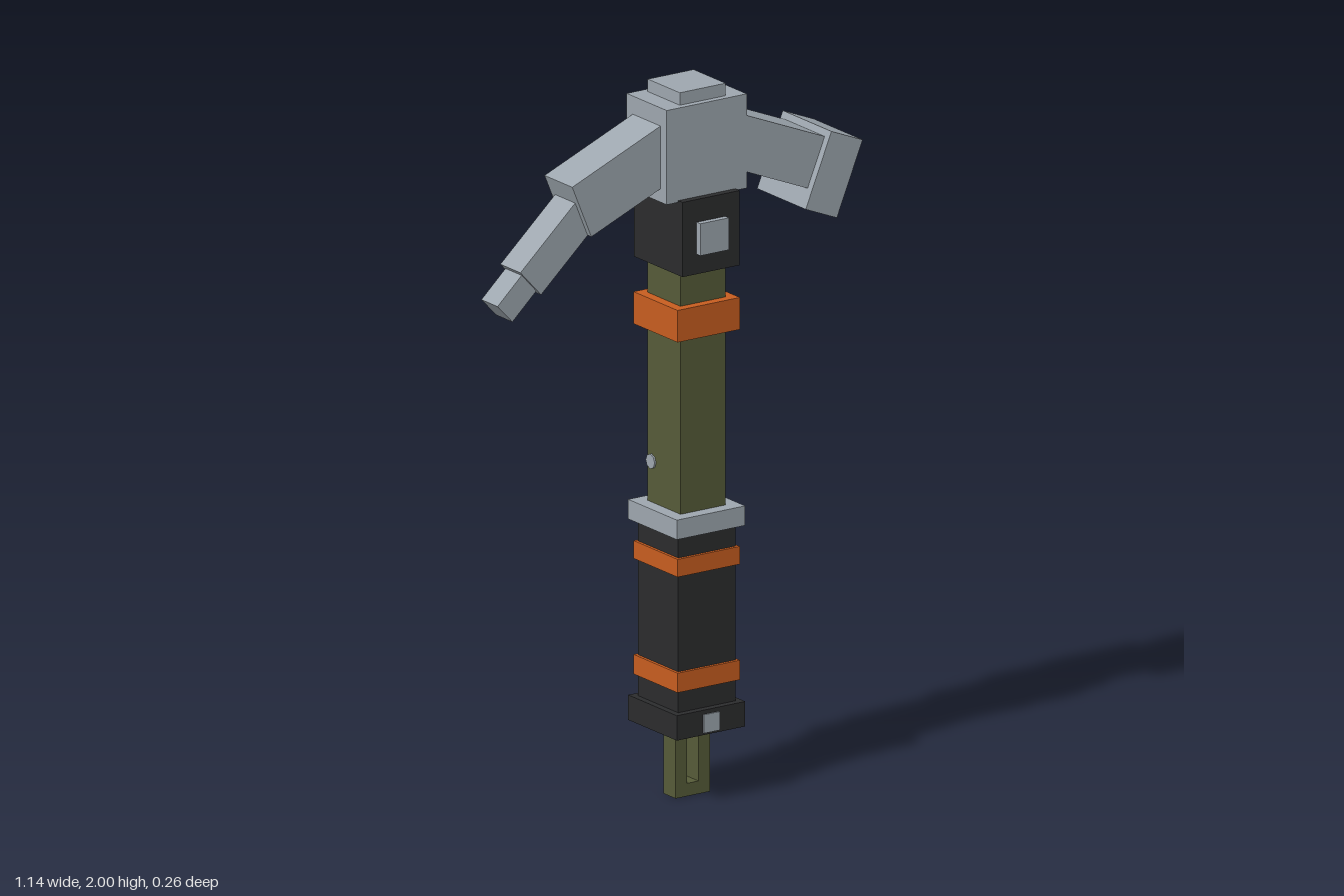
import * as THREE from 'three';

const material = (name, color) => {
  const m = new THREE.MeshStandardMaterial({ color });
  m.name = name;
  return m;
};

export function createModel() {
  const steel = material('steel', 0x9da6ae);
  const olive = material('olive', 0x565b38);
  const black = material('black', 0x2b2c2d);
  const orange = material('orange', 0xc75d20);

  const model = new THREE.Group();
  model.name = 'hammerPick';
  const axis = 0.075; // x of the handle's centre line

  const add = (name, geometry, mat, x, y, z = 0) => {
    const mesh = new THREE.Mesh(geometry, mat);
    mesh.name = name;
    mesh.position.set(x, y, z);
    model.add(mesh);
    return mesh;
  };
  // Box around the handle axis, between two heights
  const block = (name, mat, w, d, y0, y1) =>
    add(name, new THREE.BoxGeometry(w, y1 - y0, d), mat, axis, (y0 + y1) / 2);
  // Tilted box from one point to another in the front plane
  const bar = (name, [x0, y0], [x1, y1], thick, depth) => {
    const length = Math.hypot(x1 - x0, y1 - y0);
    const mesh = add(name, new THREE.BoxGeometry(length, thick, depth), steel,
      (x0 + x1) / 2, (y0 + y1) / 2);
    mesh.rotation.z = Math.atan2(y1 - y0, x1 - x0);
  };

  // Handle
  block('shaft', olive, 0.148, 0.154, 0.75, 1.5);
  block('grip', black, 0.187, 0.188, 0.26, 0.765);
  block('pommel', black, 0.224, 0.228, 0.195, 0.265);
  block('collar', steel, 0.224, 0.228, 0.76, 0.815);
  for (const [y0, y1] of [[0.325, 0.38], [0.65, 0.7], [1.31, 1.4]]) {
    block('band', orange, 0.204, 0.206, y0, y1);
  }

  // Lanyard loop under the pommel
  const loop = new THREE.Shape([[-0.056, 0], [0.056, 0], [0.056, 0.2], [-0.056, 0.2]]
    .map(([x, y]) => new THREE.Vector2(x, y)));
  loop.holes.push(new THREE.Path([[-0.019, 0.036], [-0.019, 0.196], [0.019, 0.196], [0.019, 0.036]]
    .map(([x, y]) => new THREE.Vector2(x, y))));
  add('lanyardLoop', new THREE.ExtrudeGeometry(loop, { depth: 0.056, bevelEnabled: false }),
    olive, axis, 0, -0.028);

  // Neck, head and cap
  block('neck', black, 0.187, 0.228, 1.495, 1.705);
  block('head', steel, 0.262, 0.188, 1.7, 1.965);
  block('headCap', steel, 0.15, 0.15, 1.96, 2);

  // Plates on the front and back
  for (const s of [1, -1]) {
    add('neckPlate', new THREE.BoxGeometry(0.094, 0.09, 0.018), steel, axis, 1.596, s * 0.122);
    add('pommelPlate', new THREE.BoxGeometry(0.052, 0.052, 0.006), steel, axis, 0.227, s * 0.115);
  }

  // Small studs on the sides of the shaft
  for (const [s, y] of [[1, 1.21], [-1, 0.93]]) {
    const stud = add('stud', new THREE.CylinderGeometry(0.021, 0.021, 0.008, 8), steel,
      axis + s * 0.075, y, -0.058);
    stud.rotation.z = Math.PI / 2;
  }

  // Hammer side
  bar('hammerArm', [0.12, 1.86], [0.436, 1.73], 0.147, 0.186);
  bar('hammerFace', [0.427, 1.715], [0.529, 1.673], 0.221, 0.228);

  // Pick side, stepping down to the tip
  bar('pickArm', [0, 1.849], [-0.3135, 1.7185], 0.163, 0.13);
  bar('pickMiddle', [-0.28, 1.712], [-0.468, 1.54], 0.1, 0.094);
  bar('pickTip', [-0.44, 1.565], [-0.546, 1.466], 0.071, 0.076);

  return model;
}
